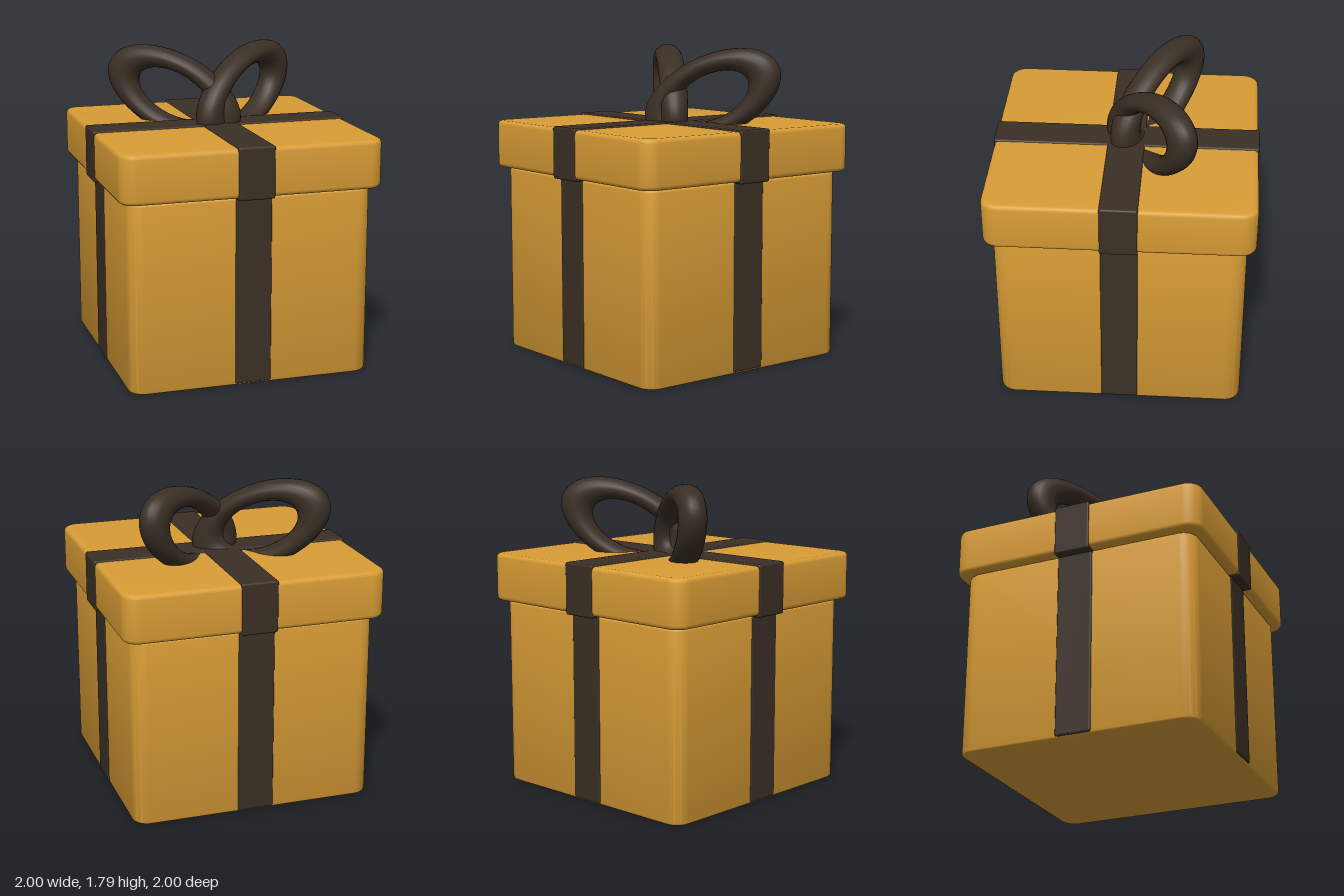
import * as THREE from 'three';
import { toCreasedNormals } from 'three/addons/utils/BufferGeometryUtils.js';
import { RoundedBoxGeometry } from 'three/addons/geometries/RoundedBoxGeometry.js';

const gold = new THREE.MeshStandardMaterial({ color: 0xd89c35 });
gold.name = 'gold card';
const brown = new THREE.MeshStandardMaterial({ color: 0x3a2f25 });
brown.name = 'dark brown ribbon';

function add(parent, name, geometry, material) {
  const mesh = new THREE.Mesh(geometry, material);
  mesh.name = name;
  parent.add(mesh);
  return mesh;
}

// Square block from y0 to y1 with wide vertical corners and softly bevelled rims
function softBlock(half, corner, bevel, y0, y1) {
  const h = half - bevel, r = corner - bevel;
  const shape = new THREE.Shape();
  shape.absarc(h - r, h - r, r, 0, Math.PI / 2);
  shape.absarc(r - h, h - r, r, Math.PI / 2, Math.PI);
  shape.absarc(r - h, r - h, r, Math.PI, Math.PI * 1.5);
  shape.absarc(h - r, r - h, r, Math.PI * 1.5, Math.PI * 2);
  const geometry = new THREE.ExtrudeGeometry(shape, {
    depth: y1 - y0 - 2 * bevel, bevelEnabled: true, bevelSize: bevel,
    bevelThickness: bevel, bevelSegments: 4, curveSegments: 8,
  });
  geometry.rotateX(-Math.PI / 2).translate(0, y0 + bevel, 0);
  return toCreasedNormals(geometry, 0.6);
}

export function createModel() {
  const model = new THREE.Group();
  model.name = 'giftBox';

  // Box and lid, turned on the spot
  const box = new THREE.Group();
  box.name = 'box';
  box.rotation.y = THREE.MathUtils.degToRad(-31.8);
  model.add(box);
  add(box, 'body', softBlock(0.7, 0.09, 0.02, 0, 1.085), gold);
  add(box, 'lid', softBlock(0.75, 0.09, 0.025, 1.085, 1.36), gold);

  // Ribbons crossing the body and the lid
  const bands = [
    { name: 'bodyRibbon', half: 0.706, y0: 0.01, y1: 1.08 },
    { name: 'lidRibbon', half: 0.756, y0: 1.074, y1: 1.369 },
  ];
  for (const { name, half, y0, y1 } of bands) {
    for (const turn of [0, Math.PI / 2]) {
      const geometry = new RoundedBoxGeometry(0.211, y1 - y0, half * 2, 3, 0.012);
      const band = add(box, name, geometry, brown);
      band.position.y = (y0 + y1) / 2;
      band.rotation.y = turn;
    }
  }

  // Bow: two tilted oval rings sunk into the lid
  const loops = [
    { name: 'leftBowLoop', x: 0.255, z: -0.013, heading: 3.6 },
    { name: 'rightBowLoop', x: -0.09, z: -0.25, heading: 114.6 },
  ];
  for (const { name, x, z, heading } of loops) {
    const geometry = new THREE.TorusGeometry(0.333, 0.1, 20, 56);
    geometry.scale(1, 0.547, 0.8).rotateZ(THREE.MathUtils.degToRad(24.9));
    const loop = add(model, name, geometry, brown);
    loop.position.set(x, 1.513, z);
    loop.rotation.y = THREE.MathUtils.degToRad(heading);
  }

  return model;
}
